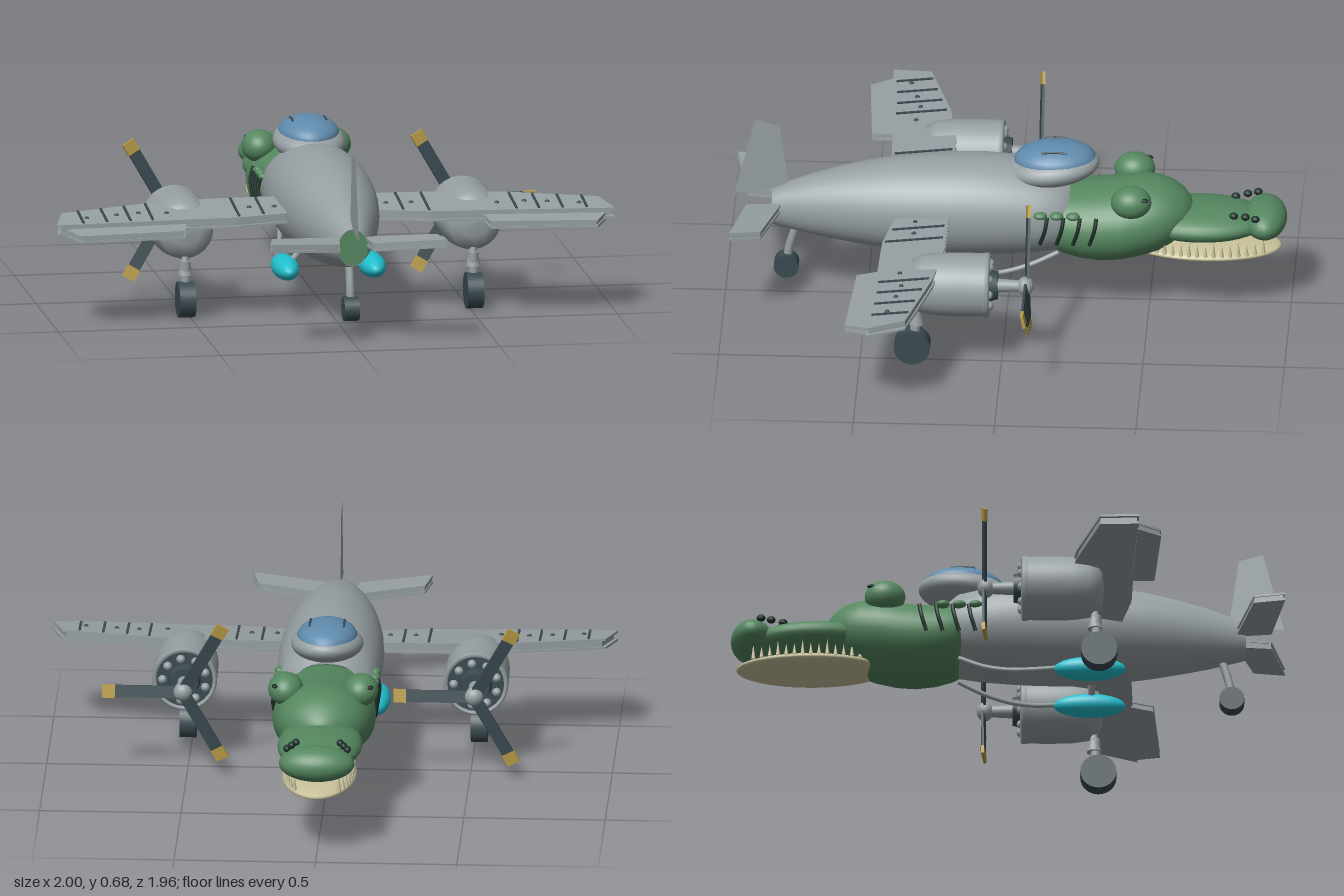
import * as THREE from 'three';

const mat = (name, color, side = THREE.FrontSide) => {
  const m = new THREE.MeshStandardMaterial({ color, side });
  m.name = name;
  return m;
};

export function createModel() {
  const root = new THREE.Group();
  root.name = 'crocodilePlane';
  const grey = mat('airframe grey', 0x969fa2, THREE.DoubleSide);
  const green = mat('skin green', 0x55875f);
  const slate = mat('dark slate', 0x3a4a50);
  const black = mat('dark slits', 0x1c2f28);
  const glass = mat('canopy blue', 0x5f8aac);
  const gold = mat('blade tip gold', 0xb79b45);
  const cyan = mat('tank cyan', 0x22bfce);
  const cream = mat('jaw cream', 0xc9c29c);

  const add = (name, geo, material, pos = [0, 0, 0], parent = root) => {
    const m = new THREE.Mesh(geo, material);
    m.name = name;
    m.position.set(...pos);
    parent.add(m);
    return m;
  };
  const ball = (name, material, pos, r, parent = root, seg = 32) => {
    const m = add(name, new THREE.SphereGeometry(1, seg, seg / 2), material, pos, parent);
    m.scale.set(...r);
    return m;
  };
  const tube = (name, pts, r, material, parent = root) =>
    add(name, new THREE.TubeGeometry(new THREE.CatmullRomCurve3(pts.map(p => new THREE.Vector3(...p))), 12, r, 8), material, [0, 0, 0], parent);

  // Smooth body through elliptical sections [z, centreY, radiusX, radiusY]
  const loft = (sections, n = 36) => {
    const pos = [], idx = [];
    sections.forEach(([z, cy, rx, ry], i) => {
      for (let j = 0; j < n; j++) {
        const a = j / n * Math.PI * 2, k = (j + 1) % n;
        pos.push(Math.cos(a) * rx, cy + Math.sin(a) * ry, z);
        if (i < sections.length - 1) {
          const p = i * n + j, q = i * n + k;
          idx.push(p, q, p + n, q, q + n, p + n);
        }
      }
    });
    const g = new THREE.BufferGeometry();
    g.setAttribute('position', new THREE.Float32BufferAttribute(pos, 3));
    g.setIndex(idx);
    g.computeVertexNormals();
    return g;
  };

  // Flat panel from an [x, z] outline, tilted by a height rule
  const slab = (outline, y0, thick, rule) => {
    const shape = new THREE.Shape(outline.map(([x, z]) => new THREE.Vector2(x, -z)));
    const g = new THREE.ExtrudeGeometry(shape, { depth: thick, bevelEnabled: false });
    g.rotateX(-Math.PI / 2);
    const p = g.attributes.position;
    for (let i = 0; i < p.count; i++) p.setY(i, p.getY(i) + y0 + rule(p.getX(i), p.getZ(i)));
    g.computeVertexNormals();
    return g;
  };
  // Two skins overhanging a recessed core, giving channelled edges
  const channel = (name, outline, y0, thick, rule, parent) => {
    const cx = outline.reduce((s, p) => s + p[0], 0) / outline.length;
    const cz = outline.reduce((s, p) => s + p[1], 0) / outline.length;
    const inner = outline.map(([x, z]) => [cx + (x - cx) * 0.97, cz + (z - cz) * 0.93]);
    add(name + 'Core', slab(inner, y0, thick, rule), grey, [0, 0, 0], parent);
    add(name + 'LowerSkin', slab(outline, y0, 0.008, rule), grey, [0, 0, 0], parent);
    add(name + 'UpperSkin', slab(outline, y0 + thick - 0.008, 0.008, rule), grey, [0, 0, 0], parent);
  };

  // Fuselage and tail end
  add('fuselage', loft([
    [-0.22, 0.355, 0.13, 0.12], [-0.18, 0.36, 0.168, 0.145], [-0.1, 0.365, 0.178, 0.163], [0, 0.369, 0.184, 0.176],
    [0.1, 0.369, 0.186, 0.182], [0.2, 0.367, 0.184, 0.182], [0.3, 0.366, 0.177, 0.176], [0.4, 0.364, 0.164, 0.167],
    [0.5, 0.361, 0.147, 0.152], [0.6, 0.357, 0.123, 0.133], [0.7, 0.351, 0.096, 0.11], [0.78, 0.345, 0.071, 0.086], [0.835, 0.339, 0.053, 0.067]
  ]), grey);
  add('tailCap', new THREE.CircleGeometry(1, 24), green, [0, 0.339, 0.834]).scale.set(0.053, 0.066, 1);

  // Cockpit
  ball('canopyBase', grey, [0, 0.525, -0.155], [0.128, 0.062, 0.168]).rotation.x = 0.12;
  ball('canopyGlass', glass, [0, 0.553, -0.165], [0.108, 0.06, 0.145]).rotation.x = 0.04;
  for (const s of [-1, 1])
    tube('canopyStrut', [[s * 0.06, 0.6, -0.21], [s * 0.06, 0.604, -0.165], [s * 0.06, 0.6, -0.12]], 0.004, slate);

  // Crocodile head
  add('head', loft([
    [-0.655, 0.37, 0.003, 0.003], [-0.645, 0.365, 0.055, 0.04], [-0.62, 0.36, 0.1, 0.075], [-0.58, 0.355, 0.138, 0.107],
    [-0.53, 0.348, 0.162, 0.13], [-0.47, 0.34, 0.176, 0.141], [-0.4, 0.326, 0.182, 0.143], [-0.33, 0.32, 0.181, 0.142],
    [-0.26, 0.322, 0.179, 0.135], [-0.2, 0.33, 0.172, 0.125], [-0.17, 0.335, 0.16, 0.115], [-0.14, 0.34, 0.05, 0.04]
  ]), green);
  ball('snout', green, [0, 0.328, -0.68], [0.15, 0.062, 0.24]);
  ball('noseTip', green, [0, 0.338, -0.908], [0.134, 0.064, 0.077]);
  ball('lowerJaw', cream, [0, 0.228, -0.7], [0.132, 0.029, 0.267]);
  for (const s of [-1, 1]) {
    ball('eye', green, [s * 0.133, 0.452, -0.44], [0.062, 0.058, 0.072]);
    ball('pupil', black, [s * 0.168, 0.477, -0.488], [0.012, 0.007, 0.016], root, 12);
    [[0.107, 0.382, -0.878], [0.092, 0.382, -0.842], [0.078, 0.378, -0.8]].forEach(([x, y, z]) =>
      ball('snoutBump', black, [s * x, y, z], [0.013, 0.013, 0.016], root, 12));
    // Teeth follow the jaw rim
    for (let i = 0; i < 16; i++) {
      const z = -0.47 - i * 0.029, w = Math.sqrt(1 - ((z + 0.7) / 0.267) ** 2);
      const h = i % 3 ? 0.045 : 0.06;
      add('tooth', new THREE.ConeGeometry(0.008, h, 8), cream, [s * 0.122 * w, 0.235 + h / 2, z]);
    }
    // Gill slits and neck scales
    for (let i = 0; i < 4; i++) {
      const z = -0.12 - i * 0.058;
      tube('gillSlit', [[s * 0.172, 0.405, z - 0.025], [s * 0.184, 0.36, z - 0.018], [s * 0.176, 0.3, z]], 0.007, black);
      if (i < 3) ball('neckScale', green, [s * 0.168, 0.408, z], [0.02, 0.014, 0.025], root, 16);
    }
  }

  // Tail fin: a single thin sheet in the centre plane
  const fin = new THREE.ShapeGeometry(new THREE.Shape([[0.97, 0.385], [0.775, 0.41], [0.81, 0.655], [0.895, 0.68]].map(p => new THREE.Vector2(...p))));
  add('tailFin', fin.rotateY(-Math.PI / 2), grey);

  // Tail wheel
  add('tailTyre', new THREE.CylinderGeometry(0.044, 0.044, 0.054, 24).rotateZ(Math.PI / 2), slate, [0, 0.11, 0.785]);
  tube('tailStrut', [[0, 0.11, 0.785], [0, 0.18, 0.775], [0, 0.28, 0.745]], 0.015, grey);

  for (const s of [-1, 1]) {
    const side = new THREE.Group();
    side.name = s > 0 ? 'leftSide' : 'rightSide';
    root.add(side);
    const flip = pts => pts.map(([x, z]) => [x * s, z]);

    // Wing, flap and tailplane
    const wingRule = (x, z) => -(z - 0.33) * 0.11;
    channel('wing', flip([[0.1, 0.2], [0.42, 0.205], [0.65, 0.235], [0.96, 0.318], [0.998, 0.455], [0.53, 0.435], [0.34, 0.43], [0.1, 0.385]]), 0.35, 0.038, wingRule, side);
    channel('flap', flip([[0.53, 0.43], [0.965, 0.45], [0.925, 0.533], [0.545, 0.51]]), 0.343, 0.028, wingRule, side);
    channel('tailplane', flip([[0.045, 0.8], [0.295, 0.862], [0.317, 0.973], [0.06, 0.925]]), 0.338, 0.03, x => Math.abs(x) * 0.06, side);

    // Ribs and rivets
    [[0.25, 0.215, 0.4], [0.34, 0.215, 0.42], [0.65, 0.25, 0.43], [0.73, 0.27, 0.43], [0.815, 0.29, 0.435], [0.9, 0.31, 0.44]].forEach(([x, z0, z1]) => {
      const rib = slab(flip([[x - 0.004, z0], [x + 0.004, z0], [x + 0.004, z1], [x - 0.004, z1]]), 0.386, 0.007, wingRule);
      add('wingRib', rib, slate, [0, 0, 0], side);
    });
    [[0.2, 0.32], [0.29, 0.32], [0.59, 0.355], [0.69, 0.345], [0.77, 0.36], [0.88, 0.385]].forEach(([x, z]) =>
      ball('wingRivet', slate, [s * x, 0.388 + wingRule(x, z), z], [0.009, 0.007, 0.009], side, 10));

    // Engine nacelle, built around its own axis
    const engine = new THREE.Group();
    engine.name = 'engine';
    engine.position.set(s * 0.515, 0.308, 0);
    side.add(engine);
    const cowl = [[0.098, 0.05], [0.106, 0.038], [0.115, 0.045], [0.115, 0.06], [0.112, 0.065], [0.114, 0.13], [0.112, 0.22], [0.104, 0.28], [0.088, 0.315], [0.05, 0.328], [0.001, 0.332]];
    add('cowling', new THREE.LatheGeometry(cowl.map(p => new THREE.Vector2(...p)), 36).rotateX(Math.PI / 2), grey, [0, 0, 0], engine);
    const rod = (name, r0, r1, z0, z1, m) =>
      add(name, new THREE.CylinderGeometry(r1, r0, z1 - z0, 24).rotateX(Math.PI / 2), m, [0, 0, (z0 + z1) / 2], engine);
    rod('engineFace', 0.1, 0.1, 0.045, 0.06, slate);
    rod('crankcase', 0.05, 0.058, 0.012, 0.05, slate);
    rod('propShaft', 0.019, 0.024, -0.08, 0.015, grey);
    ball('propHub', grey, [0, 0, -0.085], [0.034, 0.034, 0.03], engine, 20);
    for (let i = 0; i < 9; i++) {
      const a = i / 9 * Math.PI * 2;
      ball('engineCylinder', grey, [Math.cos(a) * 0.078, Math.sin(a) * 0.078, 0.042], [0.016, 0.016, 0.016], engine, 12);
    }
    // Propeller
    for (let i = 0; i < 3; i++) {
      const blade = new THREE.Group();
      blade.name = 'propBlade';
      blade.position.z = -0.09;
      blade.rotation.z = i * Math.PI * 2 / 3;
      engine.add(blade);
      add('bladeBody', new THREE.BoxGeometry(0.22, 0.044, 0.009), slate, [0.13, 0, 0], blade).rotation.x = 0.2;
      add('bladeTip', new THREE.BoxGeometry(0.045, 0.048, 0.011), gold, [0.262, 0, 0], blade).rotation.x = 0.2;
    }

    // Main wheel and strut
    add('mainTyre', new THREE.CylinderGeometry(0.064, 0.064, 0.058, 28).rotateZ(Math.PI / 2), slate, [s * 0.515, 0.064, 0.315], side);
    add('mainStrut', new THREE.CylinderGeometry(0.018, 0.018, 0.14, 16), grey, [s * 0.515, 0.13, 0.305], side);
    add('strutFairing', new THREE.CylinderGeometry(0.008, 0.026, 0.08, 16), grey, [s * 0.515, 0.19, 0.3], side);

    // Under-body tank, pylon and feed pipe
    ball('tank', cyan, [s * 0.155, 0.163, 0.283], [0.047, 0.042, 0.127], side);
    tube('tankPylon', [[s * 0.15, 0.17, 0.29], [s * 0.12, 0.2, 0.29], [s * 0.09, 0.24, 0.29]], 0.012, grey, side);
    tube('feedPipe', [[s * 0.155, 0.168, 0.18], [s * 0.15, 0.163, 0.08], [s * 0.135, 0.168, 0], [s * 0.115, 0.19, -0.09], [s * 0.1, 0.23, -0.18]], 0.009, grey, side);
  }
  return root;
}
